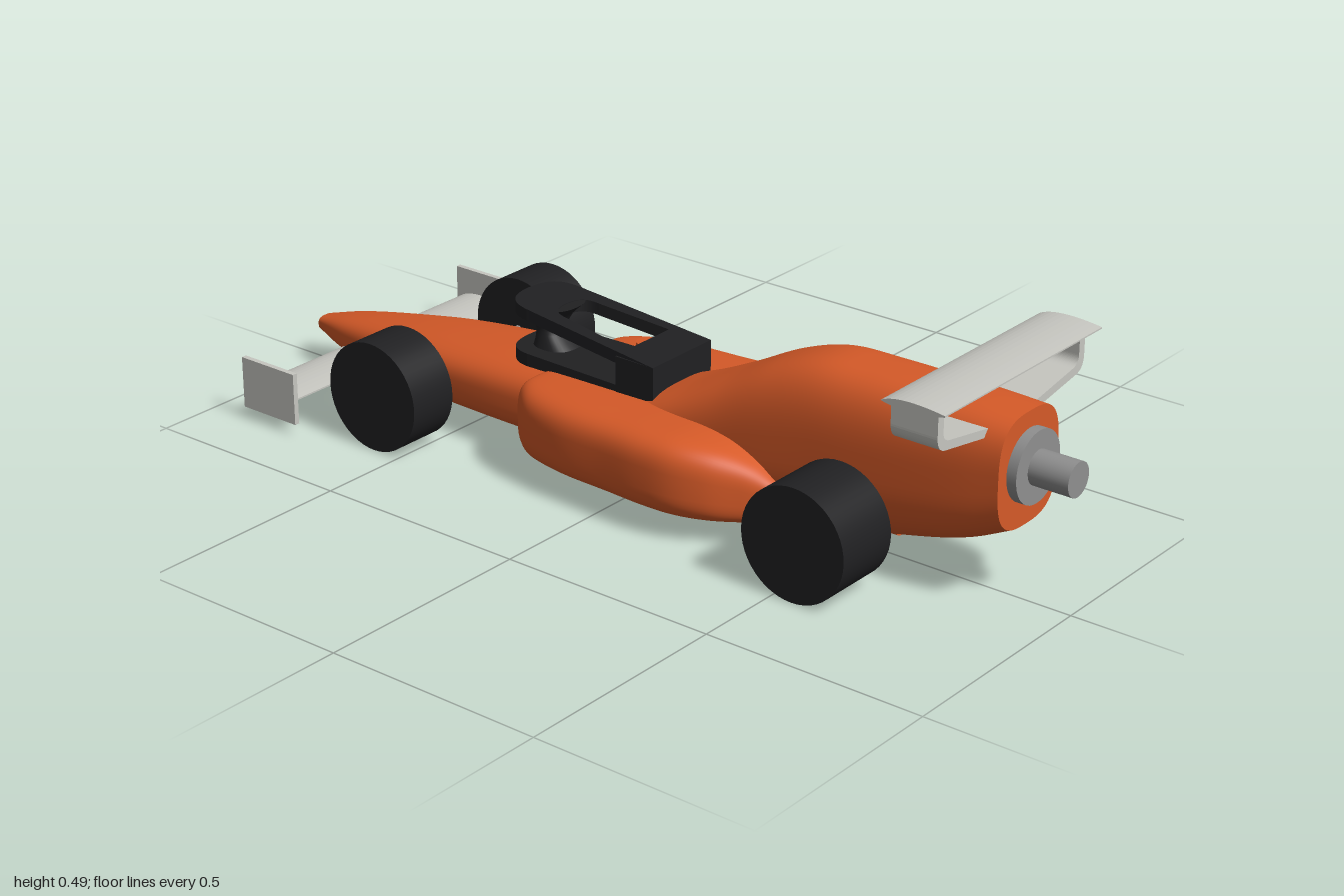
import * as THREE from 'three';

const mat = (color) => new THREE.MeshStandardMaterial({ color });
const ORANGE = mat(0xd65a28), BLACK = mat(0x202022), METAL = mat(0x909090), WING = mat(0xc6c6c0);

// Lofts superellipse rings along x. Section: [x, yBottom, yTop, zCentre, halfWidth]
function loft(sections, power, steps, sides, rule) {
  const curve = (f) => new THREE.CatmullRomCurve3(sections.map(f), false, 'catmullrom', 0.5);
  const heights = curve((s) => new THREE.Vector3(s[0], s[1], s[2]));
  const widths = curve((s) => new THREE.Vector3(s[0], s[3], s[4]));
  const pos = [], idx = [];
  const sup = (v) => Math.sign(v) * Math.abs(v) ** (2 / power);
  for (let i = 0; i <= steps; i++) {
    const h = heights.getPoint(i / steps), w = widths.getPoint(i / steps);
    for (let j = 0; j < sides; j++) {
      const a = (j / sides) * Math.PI * 2;
      const p = new THREE.Vector3(h.x, (h.y + h.z) / 2 + sup(Math.sin(a)) * (h.z - h.y) / 2,
        w.y + sup(Math.cos(a)) * w.z);
      if (rule && Math.sin(a) < 0) rule(p);
      pos.push(p.x, p.y, p.z);
      if (i < steps) {
        const k = i * sides + j, n = i * sides + (j + 1) % sides;
        idx.push(k, k + sides, n, n, k + sides, n + sides);
      }
    }
  }
  // End caps with their own vertices
  for (const end of [0, 1]) {
    const from = end * steps * sides * 3, base = pos.length / 3;
    const s = sections[end ? sections.length - 1 : 0];
    pos.push(...pos.slice(from, from + sides * 3), s[0], (s[1] + s[2]) / 2, s[3]);
    for (let j = 0; j < sides; j++) {
      const n = base + (j + 1) % sides;
      idx.push(base + sides, end ? n : base + j, end ? base + j : n);
    }
  }
  const g = new THREE.BufferGeometry();
  g.setAttribute('position', new THREE.Float32BufferAttribute(pos, 3));
  g.setIndex(idx);
  g.computeVertexNormals();
  return g;
}

// Plan outline with a rounded front, written in x and z
function roundedPlan(Type, x0, x1, front, back) {
  const s = new Type(), r = front * 0.9;
  s.moveTo(x1, -back);
  s.lineTo(x1, back);
  s.lineTo(x0 + r, front);
  s.bezierCurveTo(x0 + r * 0.3, front, x0, front * 0.7, x0, 0);
  s.bezierCurveTo(x0, -front * 0.7, x0 + r * 0.3, -front, x0 + r, -front);
  s.closePath();
  return s;
}

// Slab whose upper face is at y = top
function slab(shape, thickness, top) {
  const g = new THREE.ExtrudeGeometry(shape, { depth: thickness, bevelEnabled: false, curveSegments: 16 });
  return g.rotateX(Math.PI / 2).translate(0, top, 0);
}

// Wing profile extruded across the car: leading edge x0, trailing edge x1
function airfoil(x0, x1, y, thick, half) {
  const c = x1 - x0, s = new THREE.Shape();
  s.moveTo(x0, y + thick * 0.35);
  s.bezierCurveTo(x0 + c * 0.2, y + thick * 1.15, x0 + c * 0.6, y + thick * 1.1, x1, y + thick * 0.7);
  s.lineTo(x1, y + thick * 0.55);
  s.bezierCurveTo(x0 + c * 0.6, y - thick * 0.1, x0 + c * 0.2, y - thick * 0.1, x0, y + thick * 0.35);
  return new THREE.ExtrudeGeometry(s, { depth: half * 2, bevelEnabled: false }).translate(0, 0, -half);
}

export function createModel() {
  const car = new THREE.Group();
  car.name = 'racingCar';
  const add = (name, geometry, material) => {
    const m = new THREE.Mesh(geometry, material);
    m.name = name;
    car.add(m);
    return m;
  };
  const box = (x0, x1, y0, y1, z0, z1) => new THREE.BoxGeometry(x1 - x0, y1 - y0, z1 - z0)
    .translate((x0 + x1) / 2, (y0 + y1) / 2, (z0 + z1) / 2);
  const rodX = (r, x0, x1, y) => new THREE.CylinderGeometry(r, r, x1 - x0, 40)
    .rotateZ(Math.PI / 2).translate((x0 + x1) / 2, y, 0);
  const rodZ = (r, x, y, z0, z1) => new THREE.CylinderGeometry(r, r, z1 - z0, 48)
    .rotateX(Math.PI / 2).translate(x, y, (z0 + z1) / 2);

  // Main body, with a shallow groove along the underside for the pipe
  const groove = (p) => {
    const along = THREE.MathUtils.smoothstep(p.x, -0.72, -0.66) * (1 - THREE.MathUtils.smoothstep(p.x, 0.45, 0.6));
    p.y += 0.024 * along * Math.exp(-((p.z / 0.032) ** 4));
  };
  add('body', loft([
    [-1, 0.077, 0.108, 0, 0.024], [-0.9, 0.056, 0.134, 0, 0.057], [-0.75, 0.046, 0.16, 0, 0.09],
    [-0.6, 0.044, 0.18, 0, 0.118], [-0.4, 0.044, 0.198, 0, 0.134], [-0.2, 0.044, 0.207, 0, 0.137],
    [-0.02, 0.044, 0.216, 0, 0.135], [0.08, 0.044, 0.248, 0, 0.13], [0.2, 0.044, 0.305, 0, 0.124],
    [0.32, 0.044, 0.367, 0, 0.122], [0.43, 0.046, 0.402, 0, 0.12], [0.55, 0.06, 0.407, 0, 0.119],
    [0.7, 0.092, 0.407, 0, 0.116], [0.8, 0.122, 0.406, 0, 0.112], [0.888, 0.163, 0.403, 0, 0.105],
  ], 3, 112, 96, groove), ORANGE);

  // Thrust nozzle at the tail
  add('tailFlange', rodX(0.077, 0.88, 0.91, 0.29), METAL);
  add('tailNozzle', rodX(0.037, 0.9, 1, 0.29), METAL);

  // Pipe under the floor, held by two brackets
  add('floorPipe', rodX(0.02, -0.66, 0.6, 0.068), ORANGE);
  for (const x of [-0.57, 0.56]) {
    add('pipeBracket', rodX(0.033, x - 0.012, x + 0.012, 0.068), METAL);
    add('pipeBracketBlock', box(x - 0.012, x + 0.012, 0.068, 0.095, -0.025, 0.025), METAL);
  }

  // Wheels and axles
  for (const [end, x, inner] of [['front', -0.57, 0.177], ['rear', 0.548, 0.14]]) {
    add(end + 'Axle', rodZ(0.012, x, 0.124, -inner - 0.02, inner + 0.02), METAL);
    add(end + 'WheelLeft', rodZ(0.1235, x, 0.1235, inner, 0.296), BLACK);
    add(end + 'WheelRight', rodZ(0.1235, x, 0.1235, -0.296, -inner), BLACK);
  }

  // Front wing
  add('frontWing', airfoil(-0.895, -0.755, 0.066, 0.024, 0.342), WING);

  // Rear wing
  add('rearWing', airfoil(0.728, 0.872, 0.466, 0.021, 0.271), WING);

  for (const side of [1, -1]) {
    // Side pods: each row is x, bottom, top, inner z, outer z
    const pod = [
      [-0.266, 0.062, 0.192, 0.06, 0.166], [-0.25, 0.052, 0.203, 0.05, 0.188],
      [-0.2, 0.045, 0.208, 0.05, 0.22], [-0.1, 0.044, 0.212, 0.05, 0.243], [0.02, 0.044, 0.215, 0.05, 0.25],
      [0.12, 0.044, 0.217, 0.05, 0.256], [0.2, 0.044, 0.215, 0.05, 0.25], [0.27, 0.045, 0.202, 0.05, 0.222],
      [0.33, 0.048, 0.175, 0.06, 0.178], [0.37, 0.055, 0.145, 0.075, 0.147], [0.412, 0.065, 0.116, 0.09, 0.125],
    ].map(([x, y0, y1, a, b]) => [x, y0, y1, side * (a + b) / 2, (b - a) / 2]);
    add('sidePod', loft(pod, 3.4, 60, 56), ORANGE);

    // Front wing end plates
    add('frontEndPlate', box(-0.906, -0.75, 0.027, 0.145, side * 0.346 - 0.006, side * 0.346 + 0.006), WING);

    // Rear wing supports: a bent plate drawn in z and y, extruded along x
    const s = new THREE.Shape();
    s.moveTo(0.06, 0.378);
    s.lineTo(0.215, 0.405);
    s.quadraticCurveTo(0.234, 0.409, 0.234, 0.428);
    s.lineTo(0.234, 0.476);
    s.lineTo(0.253, 0.476);
    s.lineTo(0.253, 0.422);
    s.quadraticCurveTo(0.253, 0.394, 0.228, 0.388);
    s.lineTo(0.06, 0.36);
    s.closePath();
    const strut = new THREE.ExtrudeGeometry(s, { depth: 0.106, bevelEnabled: false });
    // turn the profile from the x-y plane to the z-y plane on this side
    strut.rotateY(-side * Math.PI / 2).translate(side > 0 ? 0.846 : 0.74, 0, 0);
    add('rearWingSupport', strut, WING);
  }

  // Cockpit base plate and rear block
  add('cockpitBase', slab(roundedPlan(THREE.Shape, -0.38, 0.04, 0.086, 0.096), 0.05, 0.224), BLACK);
  add('cockpitRearBlock', box(-0.06, 0.04, 0.2, 0.29, -0.096, 0.096), BLACK);
  add('headrestButton', new THREE.CylinderGeometry(0.024, 0.024, 0.012, 24).translate(-0.053, 0.288, 0), ORANGE);

  // Sloping guard ring over the cockpit
  const plan = roundedPlan(THREE.Shape, -0.38, 0.04, 0.084, 0.096);
  plan.holes.push(roundedPlan(THREE.Path, -0.275, -0.05, 0.052, 0.068));
  const ring = slab(plan, 0.027, 0);
  const p = ring.attributes.position;
  for (let i = 0; i < p.count; i++) p.setY(i, p.getY(i) + 0.332 - 0.1 * (p.getX(i) + 0.38));
  ring.computeVertexNormals();
  add('guardRing', ring, BLACK);

  // Waisted front pillar carrying the ring
  const pillar = loft([[-0.32, -0.06, 0.06, 0, 0.06], [-0.29, -0.045, 0.03, 0, 0.045],
    [-0.26, -0.035, 0.02, 0, 0.04], [-0.22, -0.045, 0.06, 0, 0.05], [-0.2, -0.06, 0.075, 0, 0.06]], 2.5, 20, 32);
  pillar.rotateZ(-Math.PI / 2).translate(-0.305, 0, 0);
  add('guardPillar', pillar, BLACK);
  return car;
}
